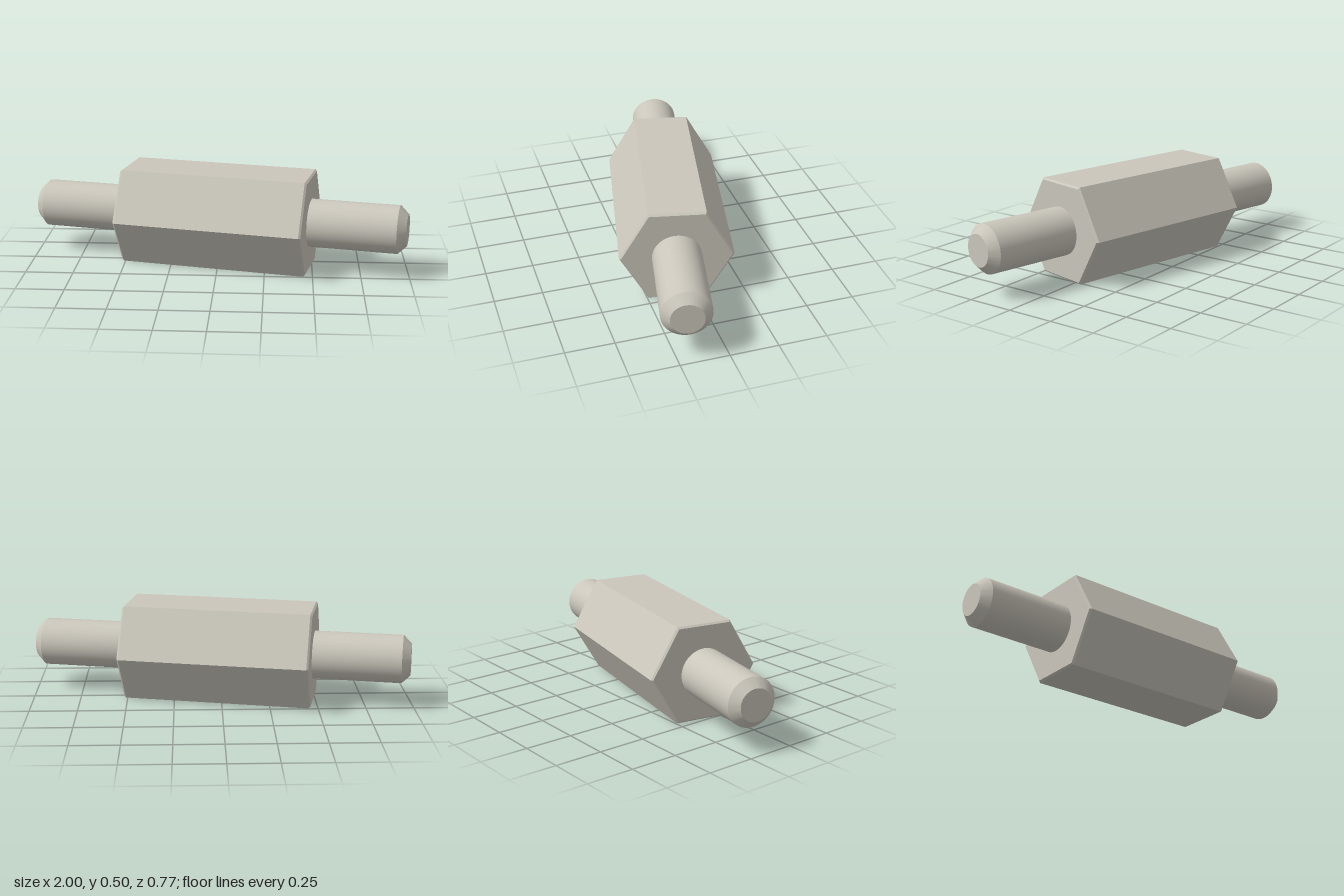
import * as THREE from 'three';
import { toCreasedNormals } from 'three/addons/utils/BufferGeometryUtils.js';

// Turned solid along +x from [radius, position] pairs
function turned(profile, sides) {
  const points = profile.map(([r, a]) => new THREE.Vector2(r, a));
  const geometry = new THREE.LatheGeometry(points, sides);
  geometry.rotateZ(-Math.PI / 2);
  return toCreasedNormals(geometry, Math.PI / 6);
}

export function createModel() {
  const model = new THREE.Group();
  model.name = 'hexStandoff';
  const metal = new THREE.MeshStandardMaterial({ color: 0xcac6bb });
  metal.name = 'warm grey metal';

  const apothem = 0.2515;
  const R = apothem / Math.cos(Math.PI / 6);
  const half = 0.5, bevel = 0.01;

  // Hexagonal body with a fine bevel on both ends
  const body = new THREE.Mesh(turned([
    [0, -half], [R - bevel, -half], [R, -half + bevel],
    [R, half - bevel], [R - bevel, half], [0, half],
  ], 6), metal);
  body.name = 'hexBody';
  model.add(body);

  // Chamfered round studs, one on each end
  const studGeometry = turned([
    [0.126, half - 0.02], [0.126, 0.961], [0.083, 1.005], [0, 1.005],
  ], 64);
  for (const [name, turn] of [['leftStud', 0], ['rightStud', Math.PI]]) {
    const stud = new THREE.Mesh(studGeometry, metal);
    stud.name = name;
    stud.rotation.y = turn;
    model.add(stud);
  }

  // Lies on its lower flat, its axis turned slightly towards the front
  model.rotation.y = -THREE.MathUtils.degToRad(12);
  model.position.y = apothem;
  const root = new THREE.Group();
  root.name = 'standoff';
  root.add(model);
  return root;
}
